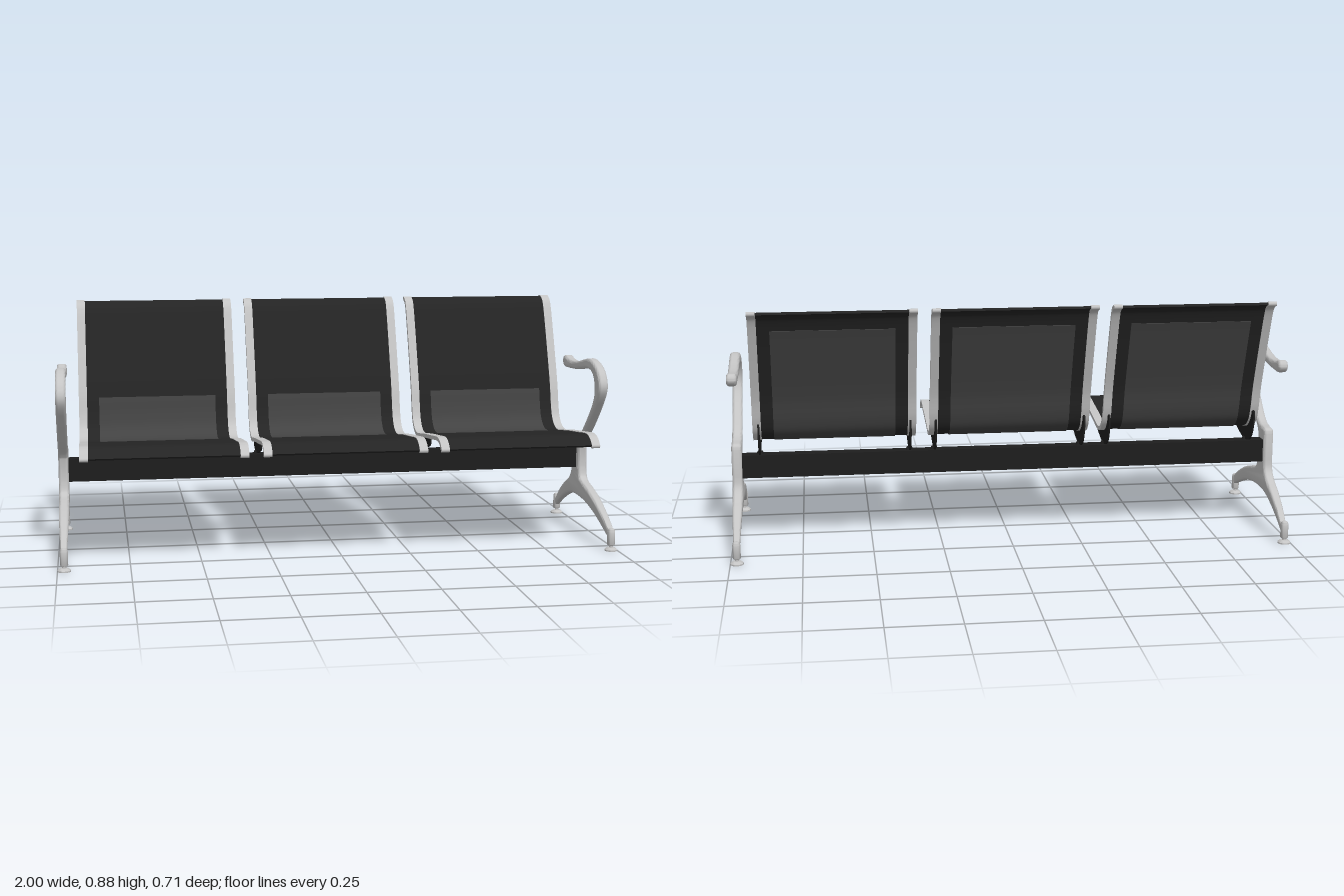
import * as THREE from 'three';
import { toCreasedNormals } from 'three/addons/utils/BufferGeometryUtils.js';

const V = (p) => new THREE.Vector2(p[0], p[1]);
const mat = (name, color) => {
  const m = new THREE.MeshStandardMaterial({ color });
  m.name = name;
  return m;
};

// seat side profile as (z, y), from the front lip to the top of the back
const PROFILE = new THREE.SplineCurve([
  [0.348, 0.39], [0.332, 0.406], [0.305, 0.418], [0.27, 0.42], [0.19, 0.411], [0.08, 0.399],
  [0, 0.388], [-0.05, 0.382], [-0.095, 0.391], [-0.13, 0.42], [-0.15, 0.465], [-0.17, 0.545],
  [-0.205, 0.645], [-0.25, 0.765], [-0.28, 0.838], [-0.298, 0.863], [-0.323, 0.874],
].map(V));

export function createModel() {
  const root = new THREE.Group();
  root.name = 'threeSeatBench';
  const metal = mat('silverMetal', 0xc4c4c4);
  const black = mat('blackPad', 0x242424);
  const shellGray = mat('darkGrayPanel', 0x424242);
  const beamBlack = mat('blackFrame', 0x1e1e1e);

  const add = (parent, name, geo, material, x = 0, y = 0, z = 0) => {
    const m = new THREE.Mesh(geo, material);
    m.name = name;
    m.position.set(x, y, z);
    parent.add(m);
    return m;
  };

  // extrude a (z, y) outline along x, centred on x = 0
  const slab = (points, width, bevel = 0, adjust = null) => {
    const geo = new THREE.ExtrudeGeometry(new THREE.Shape(points), {
      depth: width - 2 * bevel, bevelEnabled: bevel > 0, bevelThickness: bevel,
      bevelSize: bevel, bevelOffset: -bevel, bevelSegments: 3,
    });
    geo.translate(0, 0, -(width - 2 * bevel) / 2);
    geo.rotateY(-Math.PI / 2);
    if (adjust) adjust(geo.attributes.position);
    return toCreasedNormals(geo, 0.6);
  };

  // sheet following the seat profile between two z values and two offsets
  const ribbon = (zFront, zBack, low, high, width) => {
    const top = [], bottom = [];
    for (let i = 0; i <= 120; i++) {
      const p = PROFILE.getPointAt(i / 120);
      if (p.x > zFront || p.x < zBack) continue;
      const t = PROFILE.getTangentAt(i / 120);
      const n = new THREE.Vector2(t.y, -t.x);
      top.push(p.clone().addScaledVector(n, high));
      bottom.unshift(p.clone().addScaledVector(n, low));
    }
    return slab([...top, ...bottom], width);
  };

  // seats
  const rail = ribbon(1, -1, -0.007, 0.007, 0.03);
  const pad = ribbon(1, -1, -0.004, 0.005, 0.52);
  const frontPatch = ribbon(-0.03, -0.168, 0.004, 0.0065, 0.43);
  const backPatch = ribbon(0.25, -0.268, -0.0065, -0.003, 0.43);
  const lip = new THREE.CylinderGeometry(0.008, 0.008, 0.03, 14).rotateZ(Math.PI / 2);
  const bracket = slab(new THREE.SplineCurve([
    [0.083, 0.392], [0.08, 0.365], [0.03, 0.347], [-0.04, 0.33], [-0.11, 0.332], [-0.15, 0.36],
    [-0.173, 0.41], [-0.174, 0.45], [-0.158, 0.455], [-0.146, 0.44], [-0.13, 0.413],
    [-0.095, 0.386], [-0.05, 0.378], [0, 0.384], [0.083, 0.392],
  ].map(V)).getPoints(56).slice(0, -1), 0.006);
  const mount = new THREE.CylinderGeometry(0.01, 0.014, 0.012, 14);

  for (const x of [-0.628, 0, 0.626]) {
    const seat = new THREE.Group();
    seat.name = 'seat';
    seat.position.x = x;
    root.add(seat);
    add(seat, 'seatAndBackPad', pad, black);
    add(seat, 'lumbarPanel', frontPatch, shellGray);
    add(seat, 'rearPanel', backPatch, shellGray);
    for (const s of [-1, 1]) {
      add(seat, 'sideRail', rail, metal, s * 0.274);
      add(seat, 'railFrontTip', lip, metal, s * 0.274, 0.391, 0.347);
      add(seat, 'railTopTip', lip, metal, s * 0.274, 0.874, -0.323);
      add(seat, 'supportBracket', bracket, beamBlack, s * 0.268);
      add(seat, 'bracketMount', mount, beamBlack, s * 0.268, 0.329, -0.068);
    }
  }

  // beam joining the end frames
  add(root, 'crossBeam', new THREE.BoxGeometry(1.93, 0.083, 0.045), beamBlack, 0, 0.283, -0.068);

  // end frame: one outline for leg, post and looped armrest, in smooth runs
  const runs = [
    [[0.315, 0.078], [0.25, 0.115], [0.15, 0.159], [0.06, 0.186], [0.01, 0.198], [-0.012, 0.215], [-0.021, 0.25]],
    [[-0.021, 0.25], [-0.021, 0.333]],
    [[-0.021, 0.333], [0, 0.36], [0.05, 0.4], [0.12, 0.468], [0.175, 0.53], [0.198, 0.573], [0.19, 0.61],
      [0.16, 0.642], [0.11, 0.664], [0.06, 0.671], [0.01, 0.664], [-0.06, 0.649], [-0.13, 0.641],
      [-0.19, 0.645], [-0.23, 0.653], [-0.247, 0.632], [-0.23, 0.61], [-0.19, 0.608], [-0.1, 0.613],
      [0, 0.626], [0.05, 0.632], [0.1, 0.625], [0.13, 0.6], [0.141, 0.56], [0.125, 0.517],
      [0.08, 0.465], [0.03, 0.415], [-0.005, 0.387], [-0.04, 0.374], [-0.085, 0.369], [-0.1, 0.362], [-0.105, 0.345]],
    [[-0.105, 0.345], [-0.105, 0.25]],
    [[-0.105, 0.25], [-0.112, 0.215], [-0.14, 0.185], [-0.2, 0.154], [-0.27, 0.11], [-0.33, 0.06]],
    [[-0.33, 0.06], [-0.325, 0.034]],
    [[-0.325, 0.034], [-0.27, 0.068], [-0.2, 0.102], [-0.12, 0.127], [-0.04, 0.132], [0.05, 0.125],
      [0.15, 0.104], [0.25, 0.069], [0.315, 0.042]],
  ];
  const outline = runs.flatMap((r) =>
    new THREE.SplineCurve(r.map(V)).getPoints(r.length > 2 ? (r.length - 1) * 4 : 1).slice(0, -1));
  outline.push(V([0.315, 0.042]));
  // legs get thinner toward the feet
  const frame = slab(outline, 0.036, 0.01, (pos) => {
    for (let i = 0; i < pos.count; i++) {
      const k = THREE.MathUtils.clamp((pos.getY(i) - 0.04) / 0.12, 0, 1);
      pos.setX(i, pos.getX(i) * (0.55 + 0.45 * k));
    }
  });

  // levelling foot, turned on a lathe
  const foot = new THREE.LatheGeometry([
    [0, 0], [0.023, 0], [0.023, 0.005], [0.016, 0.011], [0.007, 0.013], [0.007, 0.019], [0.012, 0.02],
    [0.014, 0.023], [0.014, 0.07], [0.012, 0.078], [0.007, 0.082], [0, 0.083],
  ].map(V), 24);
  const footGeo = toCreasedNormals(foot, 0.7);

  for (const s of [-1, 1]) {
    const end = new THREE.Group();
    end.name = s > 0 ? 'leftEndFrame' : 'rightEndFrame';
    end.position.x = s * 0.977;
    root.add(end);
    add(end, 'legAndArmrest', frame, metal);
    add(end, 'frontFoot', footGeo, metal, 0, 0, 0.322);
    add(end, 'rearFoot', footGeo, metal, 0, 0, -0.333);
  }
  return root;
}
